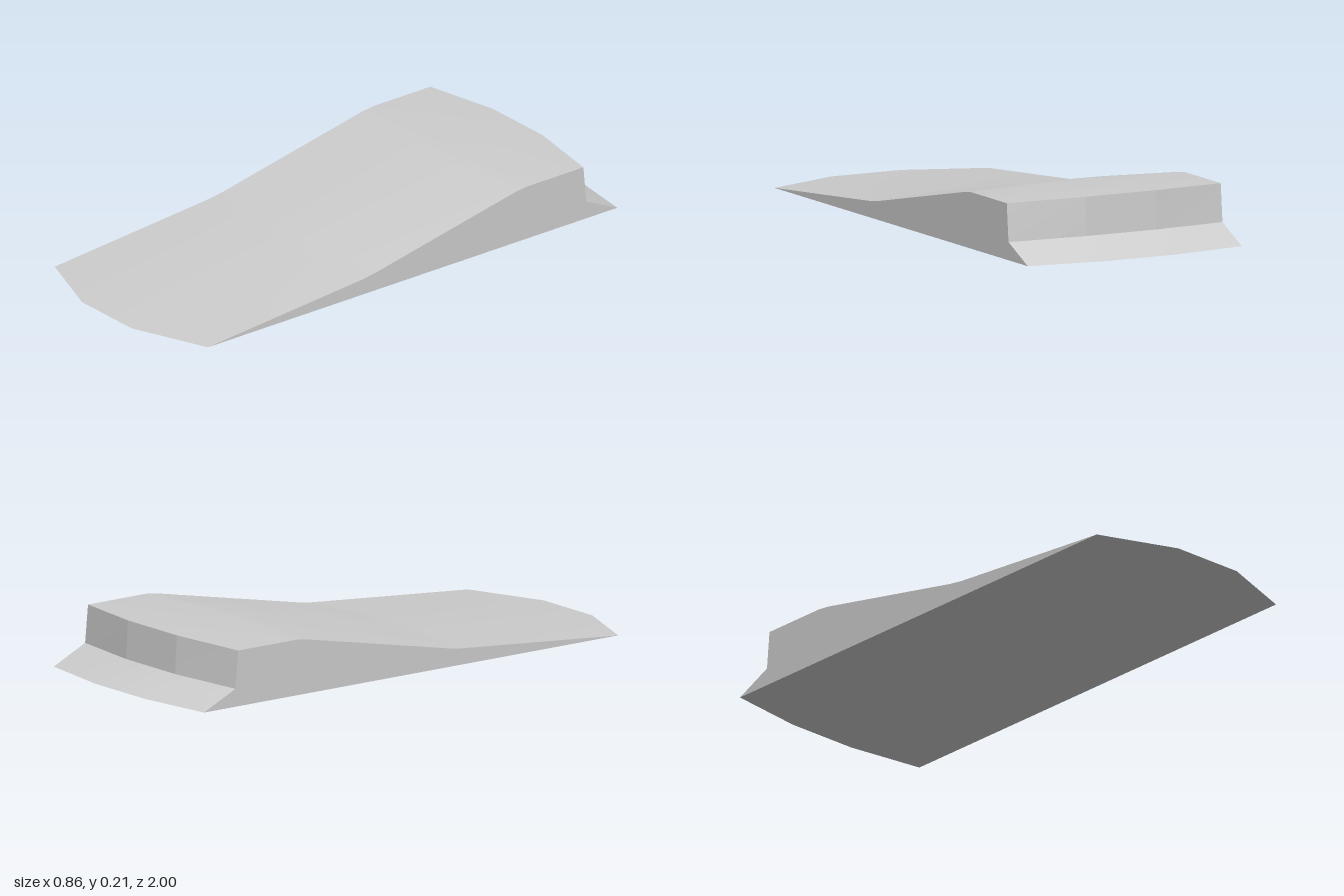
import * as THREE from 'three';
import { toCreasedNormals } from 'three/addons/utils/BufferGeometryUtils.js';

// Outlines as [z, y], from the front edge over the top to the back edge
const middle = [
  [1, 0], [0.23, 0.067], [0.17, 0.076], [-0.48, 0.202], [-0.53, 0.208],
  [-0.855, 0.208], [-0.863, 0.069], [-1, 0],
];
const edge = [
  [0.89, 0], [0.19, 0.059], [0.13, 0.068], [-0.50, 0.196], [-0.55, 0.202],
  [-0.807, 0.202], [-0.82, 0.065], [-0.96, 0],
];
const columns = [
  { x: -0.43, outline: edge },
  { x: -0.14, outline: middle },
  { x: 0.14, outline: middle },
  { x: 0.43, outline: edge },
];

export function createModel() {
  const model = new THREE.Group();
  model.name = 'ramp';
  const grey = new THREE.MeshStandardMaterial({ color: 0xcccccc });
  grey.name = 'grey';

  const addPart = (name, positions) => {
    const geometry = new THREE.BufferGeometry();
    geometry.setAttribute('position', new THREE.Float32BufferAttribute(positions, 3));
    const mesh = new THREE.Mesh(toCreasedNormals(geometry, 0.13), grey);
    mesh.name = name;
    model.add(mesh);
  };

  // Skin across the columns, following the given outline points
  const addSkin = (name, indices) => {
    const positions = [];
    const point = (i, j) => [columns[i].x, columns[i].outline[j][1], columns[i].outline[j][0]];
    for (let i = 0; i < columns.length - 1; i++) {
      for (let k = 0; k < indices.length - 1; k++) {
        const a = point(i, indices[k]);
        const b = point(i + 1, indices[k]);
        const c = point(i + 1, indices[k + 1]);
        const d = point(i, indices[k + 1]);
        positions.push(...a, ...b, ...c, ...a, ...c, ...d);
      }
    }
    addPart(name, positions);
  };
  addSkin('topSurface', [0, 1, 2, 3, 4, 5]);
  addSkin('backWall', [5, 6]);
  addSkin('backFoot', [6, 7]);
  addSkin('base', [7, 0]);

  // Flat side walls
  const faces = THREE.ShapeUtils.triangulateShape(edge.map(([z, y]) => new THREE.Vector2(z, y)), []);
  for (const [name, x] of [['rightSide', -0.43], ['leftSide', 0.43]]) {
    const positions = [];
    for (const face of faces) {
      const order = x < 0 ? face : [face[0], face[2], face[1]];
      for (const j of order) positions.push(x, edge[j][1], edge[j][0]);
    }
    addPart(name, positions);
  }
  return model;
}
